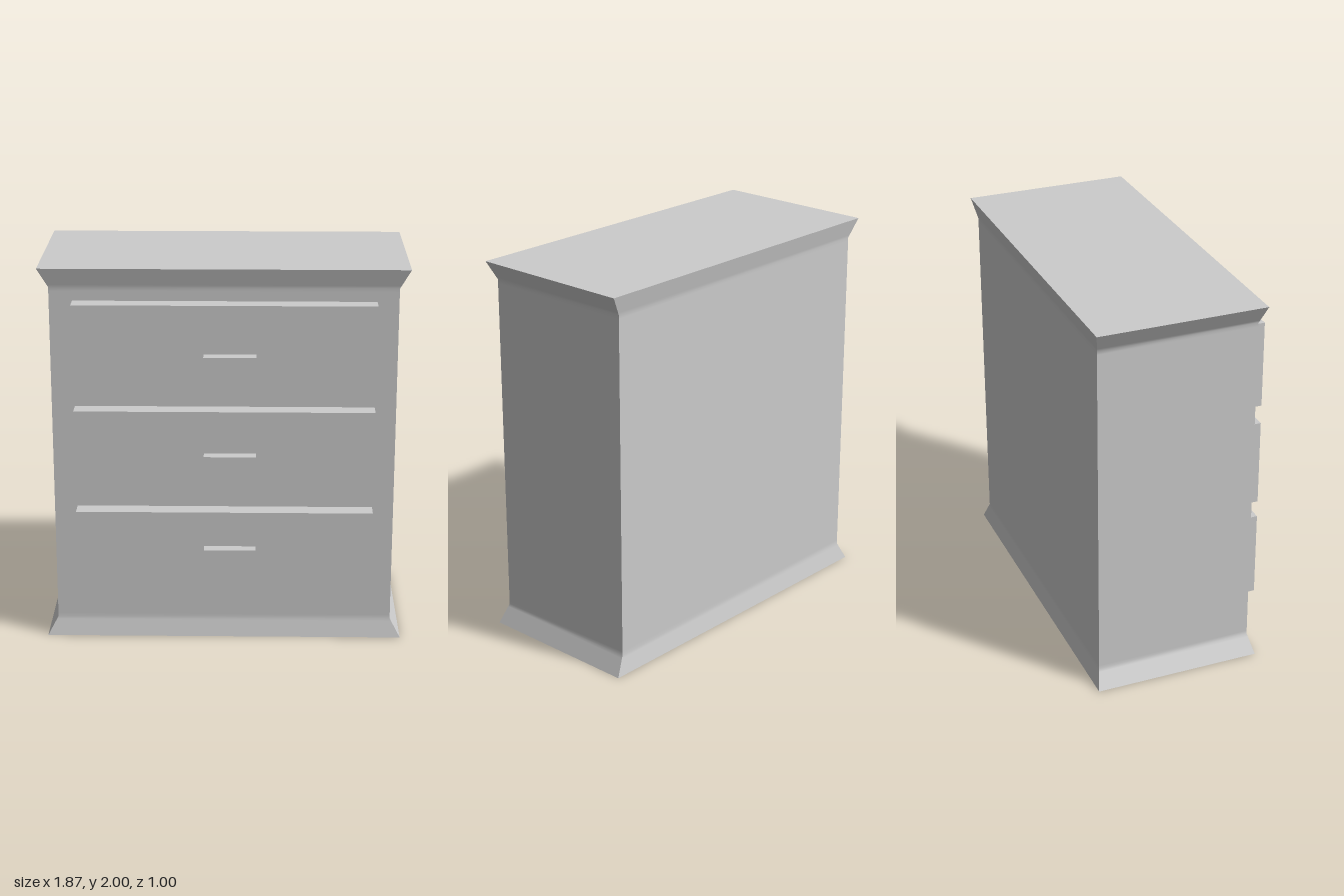
import * as THREE from 'three';

const material = new THREE.MeshStandardMaterial({ color: 0xcccccc });

// Box given by its minimum and maximum corners
function block(name, [x0, y0, z0], [x1, y1, z1]) {
  const mesh = new THREE.Mesh(new THREE.BoxGeometry(x1 - x0, y1 - y0, z1 - z0), material);
  mesh.position.set((x0 + x1) / 2, (y0 + y1) / 2, (z0 + z1) / 2);
  mesh.name = name;
  return mesh;
}

// Cabinet body: a box whose rings flare out at the foot and the top.
// Close rings at the bend keep the soft shading narrow; the corners stay sharp.
function cabinetBody() {
  const foot = [0, 0.085, 0.1, 0.12];
  const heights = [...foot, ...foot.map((y) => 2 - y).reverse()];
  const rows = heights.length - 1;
  const geometry = new THREE.BoxGeometry(2, 1, 2, 1, rows, 1);
  const p = geometry.attributes.position;
  for (let i = 0; i < p.count; i++) {
    const y = heights[Math.round((p.getY(i) + 0.5) * rows)];
    const flare = Math.max(0, 1 - Math.min(y, 2 - y) / 0.1);
    const x = 0.88 + 0.055 * flare;
    const z = p.getZ(i) > 0 ? 0.35 + 0.025 * flare : -0.48 - 0.022 * flare;
    p.setXYZ(i, Math.sign(p.getX(i)) * x, y, z);
  }
  geometry.computeVertexNormals();
  const mesh = new THREE.Mesh(geometry, material);
  mesh.name = 'cabinetBody';
  return mesh;
}

export function createModel() {
  const model = new THREE.Group();
  model.name = 'chestOfDrawers';
  model.add(cabinetBody());

  // Drawers, bottom to top: base height of the front and of its handle
  const drawers = [
    ['bottomDrawer', 0.275, 0.49],
    ['middleDrawer', 0.82, 1.0],
    ['topDrawer', 1.375, 1.525],
  ];
  for (const [name, y, handleY] of drawers) {
    const drawer = new THREE.Group();
    drawer.name = name;
    drawer.add(
      block('drawerFront', [-0.762, y, 0.33], [0.77, y + 0.456, 0.443]),
      block('drawerHandle', [-0.1, handleY, 0.43], [0.165, handleY + 0.055, 0.502]),
    );
    model.add(drawer);
  }
  return model;
}
